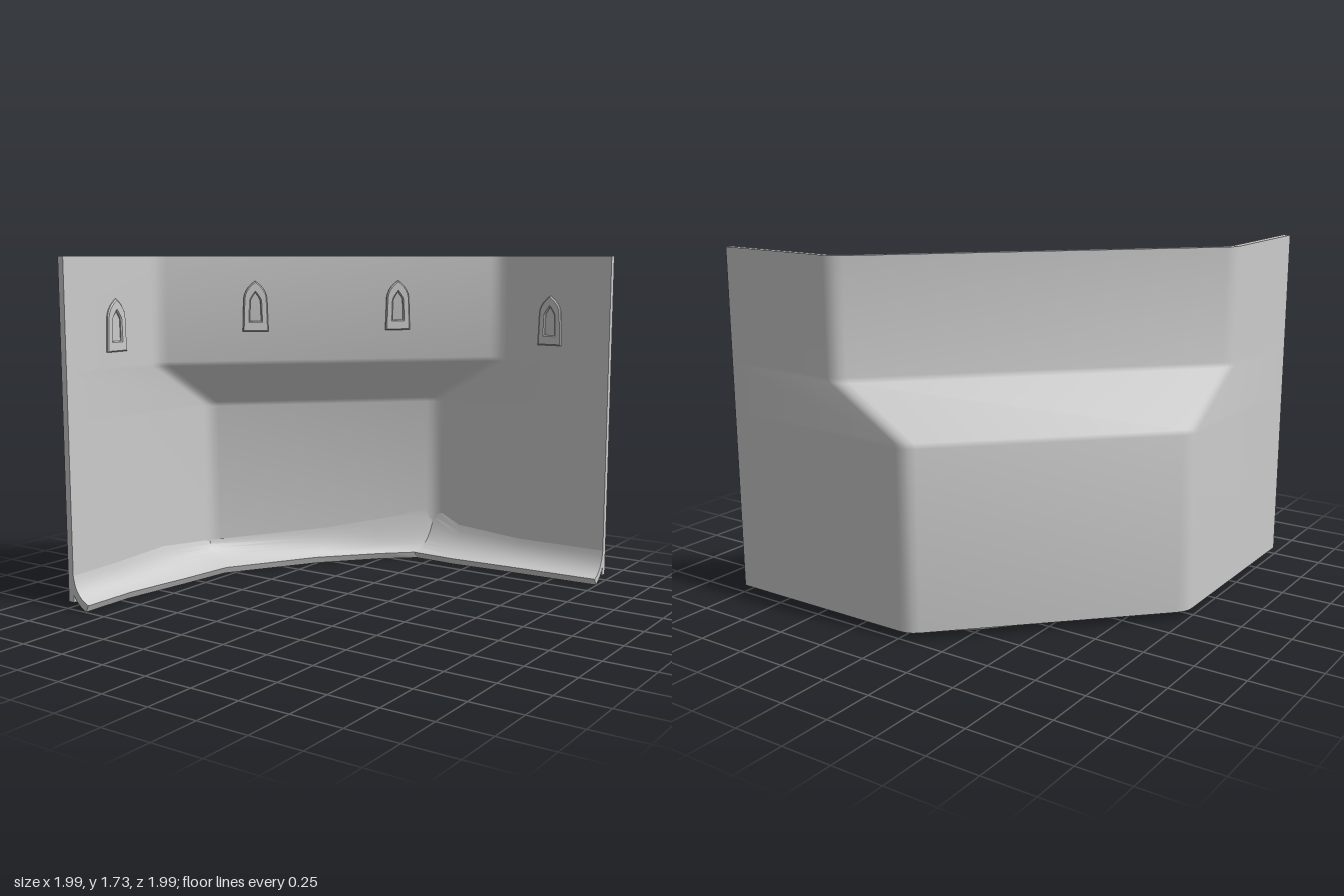
import * as THREE from 'three';
import { toCreasedNormals } from 'three/addons/utils/BufferGeometryUtils.js';

const material = new THREE.MeshStandardMaterial({ color: 0xcccccc, side: THREE.DoubleSide });

// Skin a list of closed rings. Each ring runs up the room side, then down the far side.
function loft(rings) {
  const n = rings[0].length;
  const out = [];
  const tri = (a, b, c) => out.push(...a, ...b, ...c);
  for (let s = 0; s < rings.length - 1; s++) {
    for (let i = 0; i < n; i++) {
      const j = (i + 1) % n;
      const a = rings[s][i], b = rings[s][j], c = rings[s + 1][j], d = rings[s + 1][i];
      tri(a, d, b);
      tri(d, c, b);
    }
  }
  const first = rings[0], last = rings[rings.length - 1];
  for (let i = 0; i < n / 2 - 1; i++) {
    tri(first[i], first[i + 1], first[n - 1 - i]);
    tri(first[i + 1], first[n - 2 - i], first[n - 1 - i]);
    tri(last[i + 1], last[i], last[n - 1 - i]);
    tri(last[n - 2 - i], last[i + 1], last[n - 1 - i]);
  }
  const geometry = new THREE.BufferGeometry();
  geometry.setAttribute('position', new THREE.Float32BufferAttribute(out, 3));
  return toCreasedNormals(geometry, 0.7);
}

function addMesh(parent, name, geometry) {
  const mesh = new THREE.Mesh(geometry, material);
  mesh.name = name;
  parent.add(mesh);
  return mesh;
}

const END = 0.995;
const INNER = 0.96, OUTER = 0.995;

// Plan of one wall face: straight side, rounded corner, diagonal, mirrored half
function wallPlan(offset, corner) {
  const r = 0.05, k = r * Math.SQRT1_2;
  const bend = new THREE.QuadraticBezierCurve(
    new THREE.Vector2(-offset, corner + r),
    new THREE.Vector2(-offset, corner),
    new THREE.Vector2(-offset + k, corner - k)
  );
  const half = [[-offset, END], ...bend.getPoints(3).map(p => [p.x, p.y])];
  return [...half, ...half.map(([x, z]) => [z, x]).reverse()];
}

// Wall whose diagonal bay leans inward between its lower and upper storey
function wallGeometry() {
  const levels = [[0.035, 0], [0.905, 0], [0.93, 0.03], [1.155, 0.97], [1.18, 1], [1.73, 1]];
  const faces = (offset, low, high) => levels.map(([y, t]) =>
    wallPlan(offset, THREE.MathUtils.lerp(low, high, t)).map(([x, z]) => [x, y, z]));
  const inside = faces(INNER, -0.045, 0.35);
  const outside = faces(OUTER, -0.055, 0.335).reverse();
  return loft(inside[0].map((_, s) => [...inside, ...outside].map(level => level[s])));
}

// Coved skirt along the foot of the wall: wall x, wall z, top height, lip x, lip z
function skirtGeometry() {
  const stations = [
    [-0.96, 0.995, 0.17, -0.86, 0.995],
    [-0.96, 0.7, 0.175, -0.86, 0.7],
    [-0.96, 0.35, 0.19, -0.81, 0.35],
    [-0.96, -0.03, 0.15, -0.775, 0.05],
    [-0.5, -0.505, 0.19, -0.5, -0.41],
    [-0.27, -0.735, 0.23, -0.25, -0.69],
    [-0.045, -0.96, 0.28, -0.1, -0.83],
    [0.12, -0.96, 0.2, 0.16, -0.82],
    [0.5, -0.96, 0.17, 0.5, -0.84],
    [0.995, -0.96, 0.17, 0.995, -0.86],
  ];
  return loft(stations.map(([wx, wz, top, lx, lz]) => {
    const length = Math.hypot(lx - wx, lz - wz);
    // d is the distance from the wall towards the lip
    const at = (d, y) => new THREE.Vector3(
      wx + (lx - wx) * d / length, y, wz + (lz - wz) * d / length);
    const upper = new THREE.QuadraticBezierCurve3(
      at(length, 0.035), at(length * 0.15, 0.065), at(0, top));
    const under = new THREE.QuadraticBezierCurve3(
      at(-0.02, top - 0.02), at(length * 0.15 - 0.025, 0.04), at(length - 0.018, 0));
    return [...upper.getPoints(8), ...under.getPoints(8)].map(p => p.toArray());
  }));
}

// Pointed arch outline, standing on y = 0
function arch(path, halfWidth, spring, height, base = 0) {
  path.moveTo(-halfWidth, base);
  path.lineTo(halfWidth, base);
  path.lineTo(halfWidth * 0.9, spring);
  path.quadraticCurveTo(halfWidth * 0.8, height - 0.035, 0, height);
  path.quadraticCurveTo(-halfWidth * 0.8, height - 0.035, -halfWidth * 0.9, spring);
  path.closePath();
  return path;
}

function windowFrameGeometry() {
  const shape = arch(new THREE.Shape(), 0.062, 0.17, 0.252);
  shape.holes.push(arch(new THREE.Path(), 0.036, 0.155, 0.208, 0.042));
  return new THREE.ExtrudeGeometry(shape, {
    depth: 0.012, bevelEnabled: true, bevelThickness: 0.006, bevelSize: 0.006,
    bevelSegments: 1, curveSegments: 5,
  });
}

export function createModel() {
  const model = new THREE.Group();
  model.name = 'corner wall';
  addMesh(model, 'wall', wallGeometry());
  addMesh(model, 'floorSkirt', skirtGeometry());

  // Window frames: x, base height, z, turn
  const frame = windowFrameGeometry();
  const places = [
    ['leftWallWindow', 0.658, 1.26, -0.966, 0],
    ['rightWallWindow', -0.966, 1.26, 0.658, Math.PI / 2],
    ['bayWindowLeft', -0.055, 1.34, -0.555, Math.PI / 4],
    ['bayWindowRight', -0.6, 1.34, -0.01, Math.PI / 4],
  ];
  for (const [name, x, y, z, turn] of places) {
    const mesh = addMesh(model, name, frame);
    mesh.position.set(x, y, z);
    mesh.rotation.y = turn;
  }
  return model;
}
